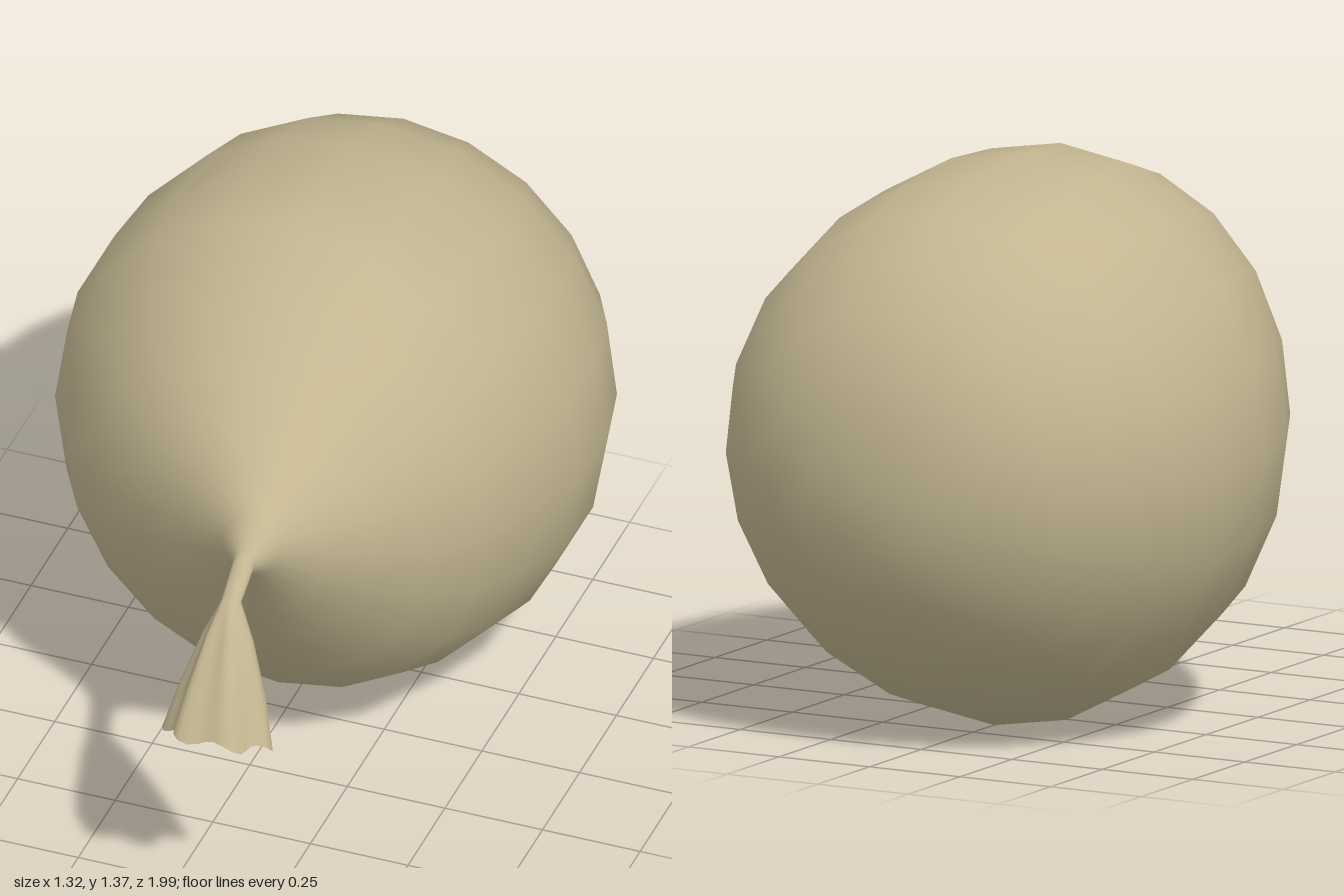
import * as THREE from 'three';

// Cross-sections from back to front: [top z, top y, bottom z, bottom y, centre x, half width, pleat]
const BODY = [
  [-0.99, 0.83, -0.98, 0.52, 0, 0.17],
  [-0.96, 0.97, -0.92, 0.38, 0, 0.32],
  [-0.89, 1.09, -0.83, 0.25, 0, 0.44],
  [-0.79, 1.21, -0.71, 0.14, 0, 0.54],
  [-0.65, 1.29, -0.57, 0.06, 0, 0.615],
  [-0.48, 1.345, -0.40, 0.003, 0, 0.655],
  [-0.25, 1.375, -0.23, 0.018, 0, 0.66],
  [-0.08, 1.37, -0.06, 0.065, 0, 0.62],
  [0.14, 1.30, 0.10, 0.15, 0.015, 0.535],
  [0.27, 1.22, 0.26, 0.30, 0.03, 0.435],
  [0.40, 1.14, 0.40, 0.50, 0.06, 0.315],
  [0.50, 1.075, 0.51, 0.67, 0.10, 0.19],
  [0.60, 1.01, 0.62, 0.85, 0.14, 0.075],
  [0.67, 0.955, 0.68, 0.90, 0.147, 0.027],
];
const NOZZLE = [
  [0.67, 0.955, 0.68, 0.90, 0.147, 0.027, 0],
  [0.78, 0.885, 0.74, 0.86, 0.147, 0.024, 0],
  [0.85, 0.81, 0.755, 0.79, 0.155, 0.06, 0.08],
  [0.93, 0.70, 0.785, 0.665, 0.162, 0.10, 0.1],
  [0.99, 0.605, 0.818, 0.535, 0.165, 0.128, 0.11],
];

// Smooth skin through the sections, optionally closed by a pole at the back
function loft(sections, sides, pole) {
  const pos = [], idx = [];
  for (const [zt, yt, zb, yb, cx, rx, pleat = 0] of sections) {
    for (let j = 0; j < sides; j++) {
      const a = (j / sides) * Math.PI * 2;
      const r = 1 + pleat * Math.cos(a * 6);
      const c = Math.cos(a) * r, s = Math.sin(a) * r;
      pos.push(
        cx + rx * c,
        (yt + yb) / 2 + ((yt - yb) / 2) * s - pleat * 0.1 * Math.cos(a * 6 + 1),
        (zt + zb) / 2 + ((zt - zb) / 2) * s
      );
    }
  }
  for (let i = 0; i < sections.length - 1; i++) {
    for (let j = 0; j < sides; j++) {
      const k = (j + 1) % sides;
      const a = i * sides + j, b = i * sides + k;
      idx.push(a, b, a + sides, b, b + sides, a + sides);
    }
  }
  if (pole) {
    const p = pos.length / 3;
    pos.push(...pole);
    for (let j = 0; j < sides; j++) idx.push(p, (j + 1) % sides, j);
  }
  const geo = new THREE.BufferGeometry();
  geo.setAttribute('position', new THREE.Float32BufferAttribute(pos, 3));
  geo.setIndex(idx);
  geo.computeVertexNormals();
  return geo;
}

export function createModel() {
  const group = new THREE.Group();
  group.name = 'balloon';
  const rubber = new THREE.MeshStandardMaterial({ color: 0xc2b590, side: THREE.DoubleSide });
  rubber.name = 'tan rubber';

  // Inflated bulb tapering to the neck
  const body = new THREE.Mesh(loft(BODY, 20, [0, 0.675, -1]), rubber);
  body.name = 'body';

  // Drooping open mouth with pleats
  const nozzle = new THREE.Mesh(loft(NOZZLE, 36), rubber);
  nozzle.name = 'nozzle';

  group.add(body, nozzle);
  return group;
}
